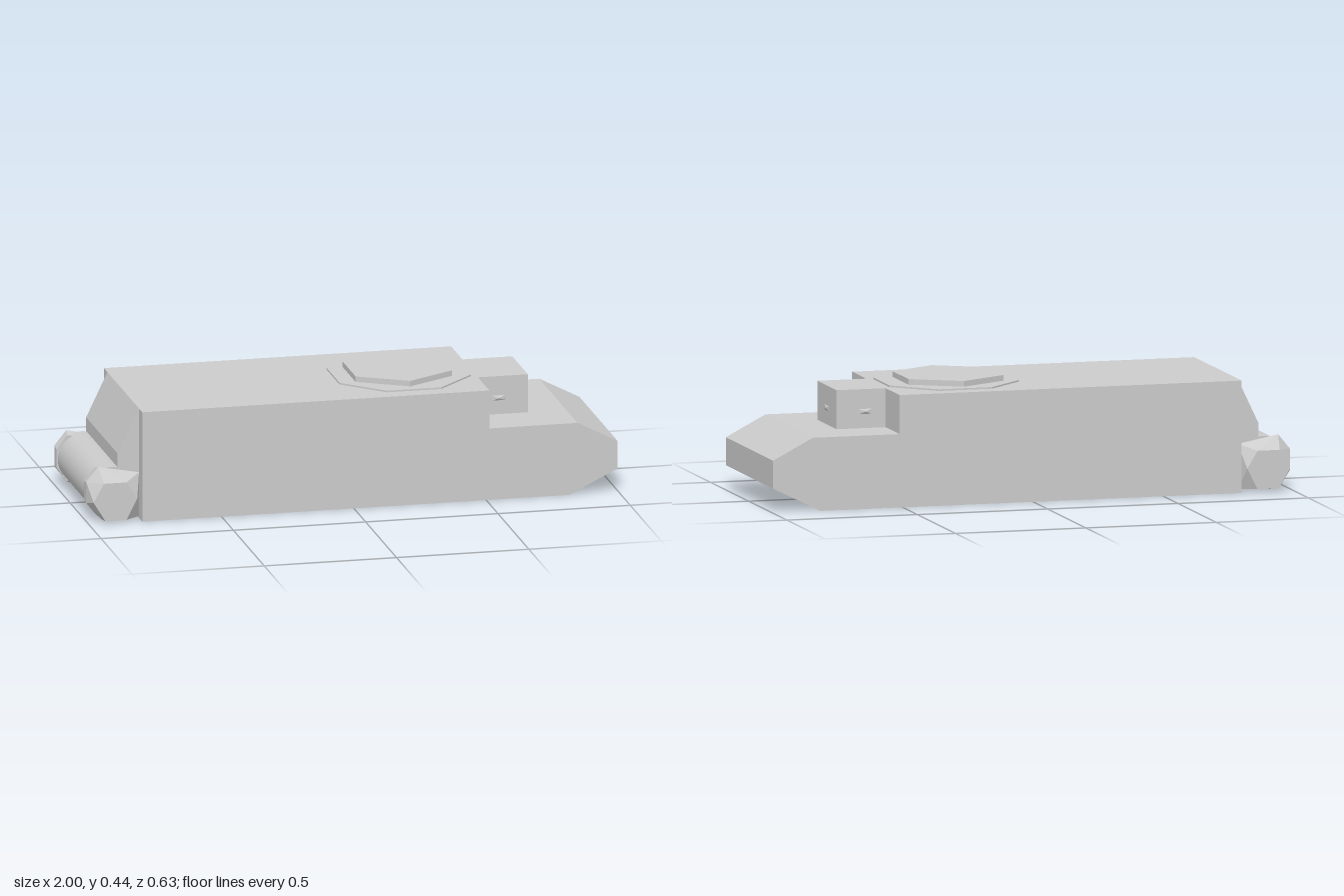
import * as THREE from 'three';
import { ConvexGeometry } from 'three/addons/geometries/ConvexGeometry.js';

const mat = new THREE.MeshStandardMaterial({ color: 0xcccccc, flatShading: true });
const smooth = new THREE.MeshStandardMaterial({ color: 0xcccccc });

function add(group, name, geometry, x = 0, y = 0, z = 0, material = mat) {
  const mesh = new THREE.Mesh(geometry, material);
  mesh.name = name;
  mesh.position.set(x, y, z);
  group.add(mesh);
  return mesh;
}

// Side profile in x/y, extruded evenly across z
function slab(points, width) {
  const shape = new THREE.Shape(points.map(([x, y]) => new THREE.Vector2(x, y)));
  return new THREE.ExtrudeGeometry(shape, { depth: width, bevelEnabled: false })
    .translate(0, 0, -width / 2);
}

// Shallow four-sided pyramid with a rectangular base, pointing along +z
function slit(width, height, depth) {
  return new THREE.ConeGeometry(Math.SQRT1_2, 1, 4)
    .rotateY(Math.PI / 4).translate(0, 0.5, 0).rotateX(Math.PI / 2)
    .scale(width, height, depth);
}

// Faceted roller end: small hexagon outside, wider ring behind it
function rollerCap(side) {
  const outer = [[-0.985, 0.085], [-0.945, 0.155], [-0.86, 0.155], [-0.82, 0.09], [-0.86, 0.012], [-0.94, 0.012]];
  const ring = [[-1, 0.15], [-0.955, 0.205], [-0.8, 0.175], [-0.8, 0.008], [-0.94, 0.003], [-1, 0.07]];
  const inner = [[-1, 0.145], [-0.96, 0.195], [-0.96, 0.02], [-1, 0.075]];
  const at = (points, z) => points.map(([x, y]) => new THREE.Vector3(x, y, z * side));
  return new ConvexGeometry([...at(outer, 0.314), ...at(ring, 0.258), ...at(inner, 0.222)]);
}

export function createModel() {
  const model = new THREE.Group();
  model.name = 'armouredVehicle';

  // Hull with wedge nose and lowered front deck
  add(model, 'hull', slab([
    [-0.8, 0], [0.815, 0], [0.997, 0.09], [0.997, 0.194], [0.845, 0.273],
    [0.512, 0.273], [0.512, 0.418], [-0.8, 0.418],
  ], 0.62));

  // Driver cabin with a vision slit on each exposed side
  const cabin = new THREE.Group();
  cabin.name = 'driverCabin';
  model.add(cabin);
  add(cabin, 'cabinBox', new THREE.BoxGeometry(0.2, 0.145, 0.252), 0.6, 0.3455, 0);
  add(cabin, 'frontSlit', slit(0.065, 0.019, 0.006), 0.7, 0.335, 0).rotation.y = Math.PI / 2;
  for (const side of [1, -1]) {
    add(cabin, 'sideSlit', slit(0.05, 0.019, 0.006), 0.59, 0.335, side * 0.126)
      .rotation.y = side > 0 ? 0 : Math.PI;
  }

  // Roof hatch: thin octagonal ring under a hexagonal lid
  add(model, 'hatchRing', new THREE.CylinderGeometry(0.269, 0.269, 0.006, 8).rotateY(Math.PI / 8), 0.242, 0.421, 0);
  add(model, 'hatchLid', new THREE.CylinderGeometry(0.21, 0.21, 0.022, 6), 0.236, 0.434, 0);

  // Sloped rear plate and the roller beneath it
  add(model, 'rearPlate', slab([
    [-0.8, 0.418], [-0.88, 0.25], [-0.88, 0.12], [-0.8, 0.12],
  ], 0.51));
  add(model, 'rearRoller', new THREE.CylinderGeometry(0.095, 0.095, 0.5, 32).rotateX(Math.PI / 2), -0.9, 0.105, 0, smooth);
  for (const side of [1, -1]) add(model, 'rollerCap', rollerCap(side));

  return model;
}
